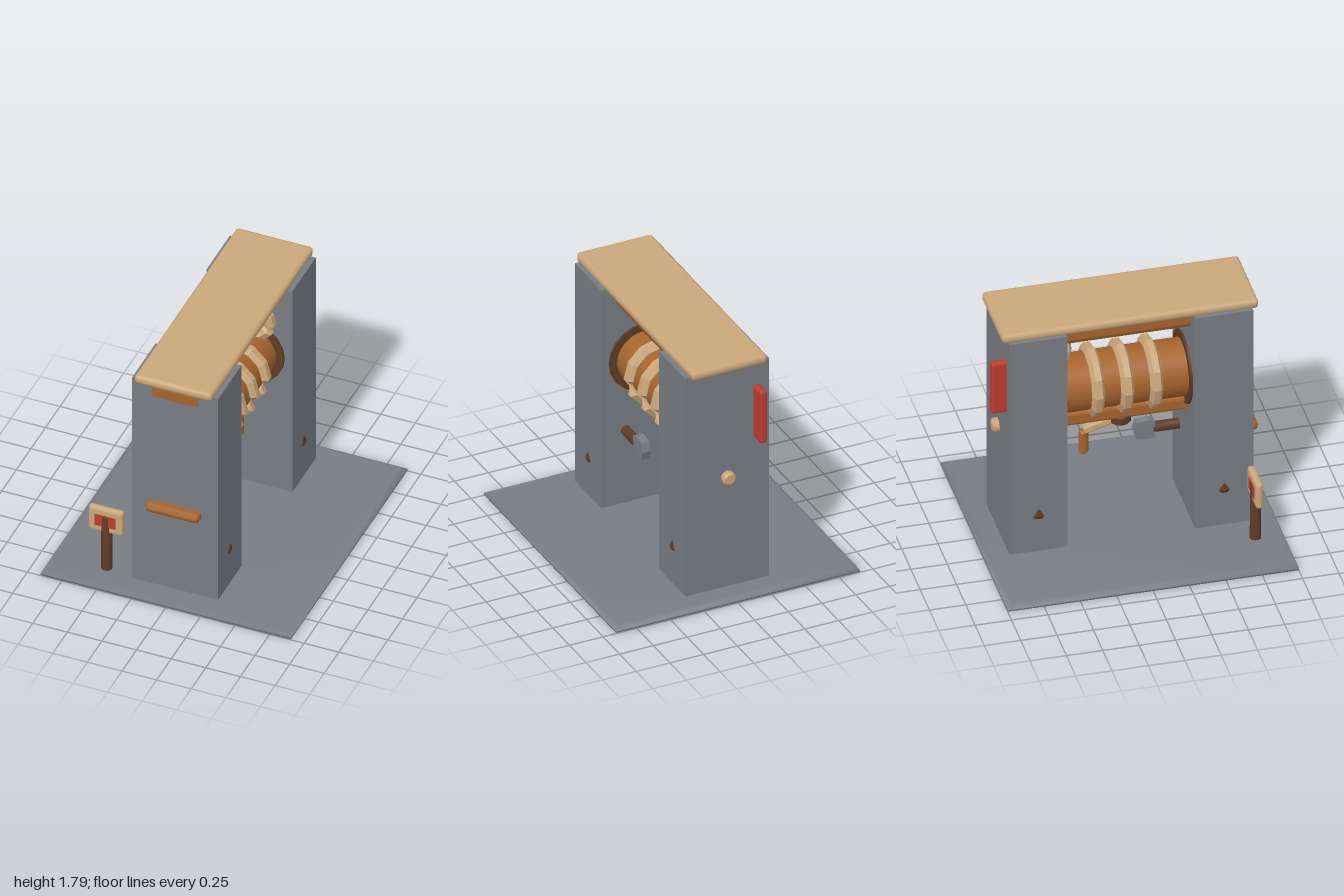
import * as THREE from 'three';
import { toCreasedNormals, mergeVertices } from 'three/addons/utils/BufferGeometryUtils.js';
import { RoundedBoxGeometry } from 'three/addons/geometries/RoundedBoxGeometry.js';

const mat = (name, color, side = THREE.FrontSide) => {
  const m = new THREE.MeshStandardMaterial({ color, side });
  m.name = name;
  return m;
};

export function createModel() {
  const stone = mat('grey stone', 0x787d83);
  const tan = mat('pale wood and rope', 0xcba77a, THREE.DoubleSide);
  const wood = mat('orange wood', 0xa5642e);
  const brown = mat('dark wood', 0x5e3b25);
  const red = mat('red paint', 0xbe3b30);
  const model = new THREE.Group();

  const add = (name, geo, material, x = 0, y = 0, z = 0, parent = model) => {
    const m = new THREE.Mesh(geo, material);
    m.name = name;
    m.position.set(x, y, z);
    parent.add(m);
    return m;
  };
  // softly shaded: shared corners, averaged normals
  const smooth = (geo) => {
    geo.deleteAttribute('normal');
    geo.deleteAttribute('uv');
    const g = mergeVertices(geo, 1e-4);
    g.computeVertexNormals();
    return g;
  };
  // box with chamfered edges
  const chamferBox = (w, h, d, r) => {
    const g = new RoundedBoxGeometry(w, h, d, 1, r);
    g.computeVertexNormals();
    return g;
  };
  const lathe = (pts, sides) =>
    toCreasedNormals(new THREE.LatheGeometry(pts.map((p) => new THREE.Vector2(...p)), sides), 0.7);
  // round bar along y with chamfered ends
  const rod = (r, len, b, sides = 12) => {
    const h = len / 2;
    return lathe([[0, -h], [r - b, -h], [r, b - h], [r, h - b], [r - b, h], [0, h]], sides);
  };

  // base slab: sloping top edge, thin rim and a hollow underside
  const slab = new THREE.BoxGeometry(2, 3, 2, 1, 3, 1);
  const p = slab.attributes.position;
  const rows = [[0.05, 0.03], [0, 0.006], [0, 0.02], [0.045, 0.045]];
  for (let i = 0; i < p.count; i++) {
    const [inset, y] = rows[Math.round(p.getY(i) + 1.5)];
    p.setXYZ(i, Math.sign(p.getX(i)) * (0.905 - inset), y, Math.sign(p.getZ(i)) * (1 - inset));
  }
  add('base', smooth(slab), stone);

  // two pillars with small pegs on their sides
  const pegGeo = lathe([[0, 0], [0.022, 0.005], [0.04, 0.022], [0, 0.085]], 8);
  for (const s of [1, -1]) {
    add('pillar', new THREE.BoxGeometry(0.62, 1.73, 0.4), stone, 0, 0.866, s * 0.638);
    for (const t of [1, -1]) {
      add('sidePeg', pegGeo, brown, t * 0.3095, 0.298, s * 0.637).scale.x = 0.25;
    }
  }

  // roof plank and the beam below it, its end showing in the front pillar
  add('roofPlank', smooth(new RoundedBoxGeometry(0.56, 0.07, 1.765, 1, 0.025)), tan, 0, 1.752, 0.002);
  add('upperBeam', chamferBox(0.4, 0.15, 1.64, 0.04), wood, 0, 1.655, 0.0195);

  // drum with end flanges
  const drum = new THREE.Group();
  drum.name = 'drum';
  drum.position.y = 1.148;
  model.add(drum);
  add('barrel', new THREE.CylinderGeometry(0.2, 0.2, 0.88, 24), wood, 0, 0, 0, drum).rotation.x = Math.PI / 2;
  for (const s of [1, -1]) {
    add('flange', new THREE.CylinderGeometry(0.255, 0.255, 0.03, 20), brown, 0, 0, s * 0.438, drum)
      .rotation.x = Math.PI / 2;
  }

  // faceted rope loop; the last segment is twisted half a turn
  const ropeLoop = (R, r, n) => {
    const pos = [];
    const pt = (i, j) => {
      const t = (i / n) * Math.PI * 2;
      const s = ((j + 0.5 + (i === n ? 3 : 0)) / 6) * Math.PI * 2;
      const q = R + r * Math.cos(s);
      return [q * Math.cos(t), q * Math.sin(t), r * Math.sin(s)];
    };
    for (let i = 0; i < n; i++) {
      for (let j = 0; j < 6; j++) {
        const a = pt(i, j), b = pt(i + 1, j), c = pt(i + 1, j + 1), d = pt(i, j + 1);
        pos.push(...a, ...b, ...d, ...b, ...c, ...d);
      }
    }
    const g = new THREE.BufferGeometry();
    g.setAttribute('position', new THREE.Float32BufferAttribute(pos, 3));
    g.computeVertexNormals();
    return g;
  };
  const loop = ropeLoop(0.212, 0.045, 12);
  for (const z of [-0.2, 0, 0.2]) add('ropeLoop', loop, tan, 0, 0, z, drum);

  // lower rail, hub, lever and hanging handle
  add('lowerRail', chamferBox(0.15, 0.1, 0.9, 0.018), wood, 0, 0.895, 0);
  for (const s of [1, -1]) add('railCollar', chamferBox(0.17, 0.12, 0.03, 0.01), wood, 0, 0.893, s * 0.433);
  add('hub', rod(0.075, 0.08, 0.015), brown, 0, 0.82, 0);
  add('lever', chamferBox(0.055, 0.055, 0.24, 0.012), tan, 0, 0.785, -0.14).rotation.x = -0.29;
  add('handle', rod(0.034, 0.185, 0.015, 10), wood, 0, 0.66, -0.252);

  // coil of rope hung on a peg at the back pillar
  add('ropeCoil', ropeLoop(0.107, 0.045, 12), tan, 0.06, 1.447, -0.391);
  add('coilPeg', rod(0.04, 0.09, 0.012, 8), brown, 0.06, 1.447, -0.398).rotation.x = Math.PI / 2;

  // tool fixed to the inside of the front pillar
  add('toolHandle', rod(0.036, 0.22, 0.01, 10), brown, 0.13, 0.605, 0.36).rotation.x = Math.PI / 2;
  const blade = new THREE.Shape([[0.265, 0.545], [0.265, 0.665], [0.225, 0.68], [0.14, 0.67],
    [0.12, 0.605], [0.14, 0.54], [0.225, 0.53]].map(([z, y]) => new THREE.Vector2(-z, y)));
  add('toolHead', new THREE.ExtrudeGeometry(blade, { depth: 0.06, bevelEnabled: false }), stone, 0.1, 0, 0)
    .rotation.y = Math.PI / 2;

  // front bar, red back plate and knob
  add('frontBar', chamferBox(0.387, 0.068, 0.1, 0.028), wood, -0.002, 0.712, 0.855);
  add('redPlate', chamferBox(0.055, 0.4, 0.14, 0.016), red, -0.22, 1.35, -0.875);
  add('backKnob', rod(0.05, 0.09, 0.014, 10), tan, 0, 0.892, -0.838).rotation.x = Math.PI / 2;

  // signpost: stake through a board with a red panel on both faces
  const sign = new THREE.Group();
  sign.name = 'signpost';
  sign.position.set(-0.51, 0, 0.8);
  model.add(sign);
  add('stake', lathe([[0, 0.03], [0.039, 0.03], [0.037, 0.48], [0, 0.528]], 10), brown, 0, 0, 0, sign);
  add('signBoard', chamferBox(0.25, 0.195, 0.05, 0.018), tan, 0, 0.448, 0, sign);
  for (const s of [1, -1]) {
    add('redPanel', new THREE.BoxGeometry(0.15, 0.09, 0.006), red, 0, 0.447, s * 0.026, sign);
  }
  return model;
}
